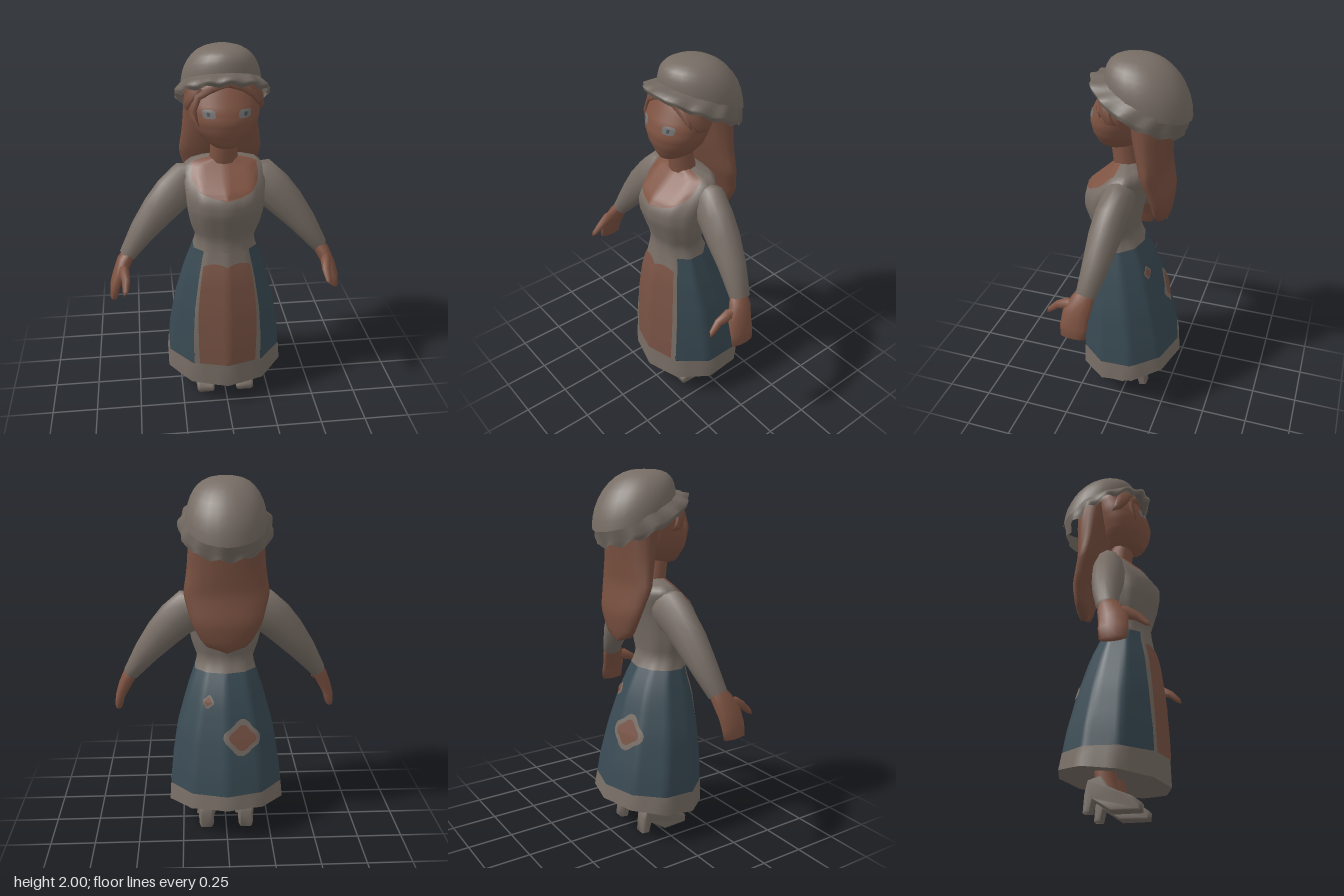
import * as THREE from 'three';
import { mergeVertices } from 'three/addons/utils/BufferGeometryUtils.js';

const mat = (name, color, side = THREE.FrontSide) => {
  const m = new THREE.MeshStandardMaterial({ color, side });
  m.name = name;
  return m;
};
const lerp = THREE.MathUtils.lerp;
const TAU = Math.PI * 2;

// Linear lookup in rows of [key, value, value...]
function lookup(rows, k) {
  let i = 0;
  while (i < rows.length - 2 && k > rows[i + 1][0]) i++;
  const p = rows[i], q = rows[i + 1];
  const t = THREE.MathUtils.clamp((k - p[0]) / (q[0] - p[0]), 0, 1);
  return p.slice(1).map((v, n) => lerp(v, q[n + 1], t));
}

function weld(g) {
  g.deleteAttribute('uv');
  g.deleteAttribute('normal');
  g = mergeVertices(g, 1e-4);
  g.computeVertexNormals();
  return g;
}

// Surface from fn(u, v) -> [x, y, z], seams welded
function grid(fn, nu, nv) {
  const pos = [], idx = [], w = nu + 1;
  for (let j = 0; j <= nv; j++)
    for (let i = 0; i <= nu; i++) pos.push(...fn(i / nu, j / nv));
  for (let j = 0; j < nv; j++)
    for (let i = 0; i < nu; i++) {
      const a = j * w + i;
      idx.push(a, a + 1, a + w + 1, a, a + w + 1, a + w);
    }
  const g = new THREE.BufferGeometry();
  g.setAttribute('position', new THREE.Float32BufferAttribute(pos, 3));
  g.setIndex(idx);
  return weld(g);
}

// Oval rings stacked in y; rows are [y, half width, front z, back z], angle 0 is the front
const stack = (rows, sides = 40) => (a, y, off = 0) => {
  const [hw, zf, zb] = lookup(rows, y);
  const step = TAU / sides, k = Math.floor(a / step + 1e-6), t = a / step - k;
  const s = lerp(Math.sin(k * step), Math.sin((k + 1) * step), t);
  const c = lerp(Math.cos(k * step), Math.cos((k + 1) * step), t);
  return [(hw + off) * s, y, (zf + zb) / 2 + ((zf - zb) / 2 + off) * c];
};

// Tube along rows of [x, y, z, radius along ref, radius across]
function limb(rows, ref, sides = 10) {
  const pts = rows.map((r) => new THREE.Vector3(r[0], r[1], r[2]));
  const last = rows.length - 1;
  return grid((u, v) => {
    const i = Math.round(v * last);
    const d = pts[Math.min(i + 1, last)].clone().sub(pts[Math.max(i - 1, 0)]).normalize();
    const n = ref.clone().addScaledVector(d, -ref.dot(d)).normalize();
    const b = d.clone().cross(n);
    return pts[i].clone()
      .addScaledVector(n, rows[i][3] * Math.cos(u * TAU))
      .addScaledVector(b, rows[i][4] * Math.sin(u * TAU)).toArray();
  }, sides, last);
}

function mirrored(g) {
  const m = g.clone().scale(-1, 1, 1);
  m.index.array.reverse();
  return m;
}

export function createModel() {
  const cloth = mat('cloth', 0x776d65), frillCloth = mat('frill cloth', 0x6f665e, THREE.DoubleSide);
  const skin = mat('skin', 0x7e5342), hairMat = mat('hair', 0x774f3f);
  const blue = mat('blue skirt', 0x394a53), apronMat = mat('apron brown', 0x785244);
  const eyeMat = mat('eye grey', 0x747271), irisMat = mat('iris', 0x485055);
  const X = new THREE.Vector3(1, 0, 0), Z = new THREE.Vector3(0, 0, 1);
  const model = new THREE.Group();
  const add = (name, g, m) => {
    const mesh = new THREE.Mesh(g, m);
    mesh.name = name;
    model.add(mesh);
  };
  const pair = (name, g, m) => {
    add(name + 'Left', g, m);
    add(name + 'Right', mirrored(g), m);
  };

  // Dress: one ten-sided body surface divided into coloured bands
  const body = stack([
    [0.12, 0.344, 0.297, -0.3], [0.2, 0.34, 0.295, -0.29], [0.4, 0.32, 0.29, -0.252],
    [0.6, 0.287, 0.277, -0.2], [0.8, 0.23, 0.252, -0.135], [0.9, 0.195, 0.222, -0.088],
    [0.98, 0.167, 0.21, -0.045], [1.02, 0.165, 0.212, -0.035], [1.1, 0.194, 0.237, -0.047],
    [1.18, 0.21, 0.264, -0.062], [1.25, 0.215, 0.264, -0.077], [1.3, 0.22, 0.228, -0.09],
    [1.36, 0.225, 0.158, -0.1], [1.41, 0.2, 0.1, -0.085], [1.44, 0.06, 0.08, 0]], 10);
  const hemY = (a) => 0.172 - 0.037 * Math.cos(a);
  const hemTop = (a) => 0.28 - 0.01 * Math.cos(a);
  const panel = (y) => lerp(0.6, 0.78, (y - 0.28) / 0.67);
  add('hemBand', grid((u, v) => body(u * TAU, lerp(hemY(u * TAU), hemTop(u * TAU), v)), 30, 2), cloth);
  add('skirt', grid((u, v) => {
    const w = panel(lerp(0.28, 0.95, v)), a = lerp(w, TAU - w, u);
    return body(a, lerp(hemTop(a), 0.945, v));
  }, 48, 12), blue);
  add('apronBorder', grid((u, v) => {
    const y = lerp(0.27, 0.95, v);
    return body(lerp(-1, 1, u) * panel(y), y);
  }, 12, 12), cloth);
  add('apron', grid((u, v) => {
    const y = lerp(0.275, 0.87 + 0.015 * Math.abs(Math.sin(u * TAU)), v);
    return body(lerp(-1, 1, u) * (panel(y) - 0.1), y, 0.004);
  }, 12, 12), apronMat);
  add('bodice', grid((u, v) => body(u * TAU, lerp(0.945, 1.44, v)), 30, 20), cloth);
  add('skirtUnderside', grid((u, v) => {
    const a = u * TAU, [x, y, z] = body(a, hemY(a));
    return [x * v, lerp(0.22, y, v), z * v];
  }, 30, 2), cloth);

  // Neckline opening
  const neckline = [[1.265, 0], [1.275, 0.35], [1.295, 0.65], [1.33, 0.88], [1.4, 1.0], [1.44, 1.4]];
  add('neckline', grid((u, v) => {
    const y = lerp(1.265, 1.44, v);
    return body(lerp(-1, 1, u) * lookup(neckline, y)[0], y, 0.005);
  }, 16, 16), skin);

  // Sewn patches: rounded diamonds laid on the back of the skirt, from rim to centre
  const sewn = (name, a0, y0, r, off, m) => add(name, grid((u, v) => {
    const t = u * TAU, s = r * (1 - v) * (1 + 0.12 * Math.cos(4 * t + 0.5));
    return body(a0 + s * Math.cos(t) / 0.25, y0 + s * Math.sin(t), off);
  }, 24, 6), m);
  for (const [name, a, y, r] of [['patch', Math.PI + 0.32, 0.61, 0.09], ['smallPatch', Math.PI - 0.45, 0.8, 0.032]]) {
    sewn(name + 'Border', a, y, r, 0.005, cloth);
    sewn(name, a, y, r * 0.7, 0.009, apronMat);
  }

  // Sleeves, hands and thumbs
  pair('sleeve', limb([
    [0.1, 1.3, 0.01, 0.06, 0.08], [0.2, 1.287, 0.02, 0.085, 0.12], [0.27, 1.23, 0.033, 0.087, 0.108],
    [0.345, 1.15, 0.045, 0.085, 0.096], [0.435, 1.04, 0.06, 0.072, 0.074],
    [0.53, 0.905, 0.085, 0.055, 0.045], [0.53, 0.905, 0.085, 0, 0]], Z, 12), cloth);
  pair('hand', limb([
    [0.51, 0.93, 0.08, 0.045, 0.035], [0.545, 0.88, 0.1, 0.062, 0.04], [0.578, 0.81, 0.125, 0.073, 0.035],
    [0.602, 0.75, 0.13, 0.073, 0.028], [0.612, 0.69, 0.133, 0.068, 0.022], [0.614, 0.68, 0.133, 0, 0]], Z), skin);
  pair('thumb', limb([
    [0.56, 0.85, 0.12, 0.02, 0.035], [0.548, 0.85, 0.18, 0.028, 0.034], [0.54, 0.825, 0.235, 0.022, 0.022],
    [0.545, 0.785, 0.28, 0.015, 0.015], [0.553, 0.765, 0.298, 0, 0]], X, 8), skin);

  // Neck and head
  add('neck', limb([[0, 1.38, 0.03, 0.07, 0.085], [0, 1.46, 0.045, 0.065, 0.072],
    [0, 1.58, 0.06, 0.065, 0.07]], Z, 12), skin);
  const head = stack([
    [1.5, 0, 0.11, 0.1], [1.51, 0.05, 0.17, 0.02], [1.54, 0.095, 0.185, -0.02], [1.6, 0.148, 0.21, -0.06],
    [1.66, 0.175, 0.22, -0.08], [1.72, 0.187, 0.205, -0.1], [1.8, 0.187, 0.165, -0.12], [1.9, 0.15, 0.11, -0.1]]);
  add('head', grid((u, v) => head(u * TAU, lerp(1.5, 1.9, v)), 40, 20), skin);

  // Eyes: flat rounded plates on the face
  const oval = (w, h, off) => grid((u, v) => {
    const t = u * TAU, r = (1 - v) * (1 + 0.1 * Math.cos(4 * t + Math.PI));
    return head(0.5 + w * r * Math.cos(t), 1.707 + h * r * Math.sin(t), off);
  }, 16, 3);
  pair('eye', oval(0.21, 0.023, 0.004), eyeMat);
  pair('iris', oval(0.05, 0.011, 0.008), irisMat);

  // Long hair at the back
  const hair = stack([
    [1.108, 0, -0.15, -0.19], [1.115, 0.07, -0.14, -0.195], [1.16, 0.125, -0.13, -0.21],
    [1.27, 0.185, -0.11, -0.222], [1.42, 0.225, -0.06, -0.192], [1.55, 0.205, -0.02, -0.2],
    [1.7, 0.194, 0.01, -0.21], [1.82, 0.18, 0.04, -0.2]]);
  add('backHair', grid((u, v) => hair(u * TAU, lerp(1.108, 1.82, v)), 20, 20), hairMat);

  // Locks lying flat on the head, rows are [angle, y, half width]
  const lock = (rows) => {
    const mid = rows[2][0];
    return limb(rows.map(([a, y, r]) => [...head(a, y, 0.005), r ? 0.013 : 0, r]),
      new THREE.Vector3(Math.sin(mid), 0, Math.cos(mid)), 8);
  };
  pair('templeLock', lock([[0.75, 1.83, 0.03], [1.0, 1.795, 0.038], [1.25, 1.755, 0.036],
    [1.5, 1.715, 0.025], [1.75, 1.695, 0]]), hairMat);
  add('fringeRight', lock([[0.05, 1.845, 0.02], [-0.4, 1.825, 0.026], [-0.8, 1.78, 0.022],
    [-0.98, 1.71, 0.015], [-0.92, 1.635, 0]]), hairMat);
  add('fringeLeft', lock([[0.05, 1.845, 0.02], [0.45, 1.83, 0.026], [0.8, 1.79, 0.022],
    [1.0, 1.75, 0.014], [1.15, 1.72, 0]]), hairMat);

  // Cap: puffed crown tilted back, with a wavy frill
  const capBase = (a) => 1.78 + 0.085 * Math.cos(a);
  add('capCrown', grid((u, v) => {
    const a = u * TAU, phi = v * Math.PI / 2, r = Math.pow(Math.max(Math.cos(phi), 0), 0.72), h = Math.sin(phi);
    return [0.208 * r * Math.sin(a), lerp(capBase(a), 2.0, h), -0.08 + 0.06 * h * h + 0.222 * r * Math.cos(a)];
  }, 24, 9), cloth);
  // Rows from lower rim to crown: [v, half width, centre z, half depth, centre y, tilt]
  const frill = [[0, 0.238, -0.035, 0.235, 1.733, 0.115], [0.5, 0.243, -0.03, 0.245, 1.765, 0.115],
    [1, 0.2, -0.08, 0.215, 1.81, 0.085]];
  add('capFrill', grid((u, v) => {
    const a = u * TAU, wave = 0.011 * Math.sin(13 * a + 0.6) * (1 - v);
    const [hw, cz, hz, cy, tilt] = lookup(frill, v);
    return [(hw + wave) * Math.sin(a), cy + tilt * Math.cos(a) + wave, cz + (hz + wave) * Math.cos(a)];
  }, 78, 4), frillCloth);

  // Legs and heeled shoes
  pair('leg', limb([[0.1, 0.32, -0.03, 0.06, 0.055], [0.11, 0.18, -0.015, 0.055, 0.047],
    [0.115, 0.07, 0.005, 0.055, 0.042]], Z), skin);
  const side = new THREE.Shape([[0.155, 0.01], [0.158, 0.035], [0.115, 0.065], [0.05, 0.09], [0.0, 0.115],
    [-0.035, 0.165], [-0.09, 0.15], [-0.105, 0.09], [-0.112, 0.01], [-0.09, 0.01], [-0.075, 0.07],
    [-0.04, 0.05], [0.02, 0.01]].map(([z, y]) => new THREE.Vector2(z, y)));
  const shoe = new THREE.ExtrudeGeometry(side, { depth: 0.084, bevelThickness: 0.018, bevelSize: 0.01, bevelSegments: 2 });
  shoe.translate(0, 0, -0.042).rotateY(-Math.PI / 2);
  const p = shoe.attributes.position;
  for (let i = 0; i < p.count; i++) {
    const taper = lookup([[-0.12, 0.6], [-0.05, 0.85], [0.08, 1], [0.17, 0.8]], p.getZ(i))[0];
    p.setX(i, p.getX(i) * taper + 0.115);
  }
  pair('shoe', weld(shoe), cloth);
  return model;
}
